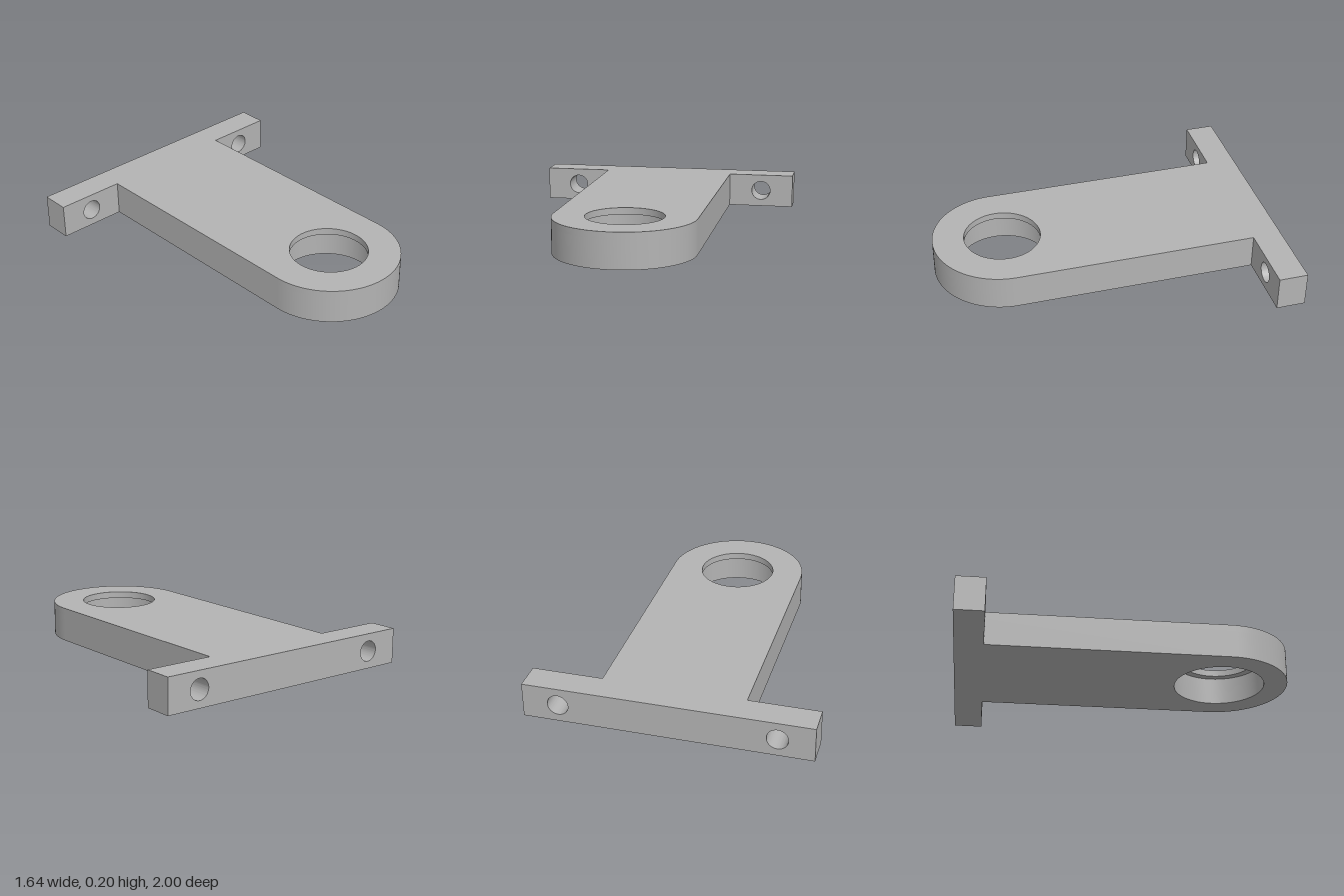
import * as THREE from 'three';
import { toCreasedNormals } from 'three/addons/utils/BufferGeometryUtils.js';

const HEIGHT = 0.205;      // overall thickness
const LIP = 0.04;          // thickness of the narrow rim above the counterbore
const ARM_HALF = 0.41;     // half width and end radius of the arm
const EYE_Z = 0.588;       // centre of the large hole
const FLANGE_HALF = 0.82;
const FLANGE_FRONT = -0.83;

function addHole(shape, x, y, radius) {
  const hole = new THREE.Path();
  hole.absarc(x, y, radius, 0, Math.PI * 2, true);
  shape.holes.push(hole);
}

function extrude(shape, depth) {
  const geometry = new THREE.ExtrudeGeometry(shape, { depth, bevelEnabled: false, curveSegments: 48 });
  return toCreasedNormals(geometry, Math.PI / 6);
}

// Horizontal arm layer with a rounded front end; the outline is drawn in x and z
function armLayer(name, holeRadius, top, thickness, material) {
  const shape = new THREE.Shape();
  shape.moveTo(-ARM_HALF, FLANGE_FRONT);
  shape.lineTo(ARM_HALF, FLANGE_FRONT);
  shape.lineTo(ARM_HALF, EYE_Z);
  shape.absarc(0, EYE_Z, ARM_HALF, 0, Math.PI, false);
  shape.closePath();
  addHole(shape, 0, EYE_Z, holeRadius);
  const geometry = extrude(shape, thickness).rotateX(Math.PI / 2).translate(0, top, 0);
  const mesh = new THREE.Mesh(geometry, material);
  mesh.name = name;
  return mesh;
}

export function createModel() {
  const group = new THREE.Group();
  group.name = 'mountingBracket';
  const metal = new THREE.MeshStandardMaterial({ color: 0xb3b3b3 });
  metal.name = 'grey metal';

  // Arm: narrow hole on top, wider counterbore below
  group.add(armLayer('armTop', 0.225, HEIGHT, LIP, metal));
  group.add(armLayer('armCounterbore', 0.27, HEIGHT - LIP, HEIGHT - LIP, metal));

  // Rear flange with a bolt hole on each side
  const face = new THREE.Shape();
  face.moveTo(-FLANGE_HALF, 0);
  face.lineTo(FLANGE_HALF, 0);
  face.lineTo(FLANGE_HALF, HEIGHT);
  face.lineTo(-FLANGE_HALF, HEIGHT);
  face.closePath();
  for (const side of [-1, 1]) addHole(face, side * 0.615, HEIGHT / 2, 0.06);
  const flange = new THREE.Mesh(extrude(face, FLANGE_FRONT + 1).translate(0, 0, -1), metal);
  flange.name = 'rearFlange';
  group.add(flange);

  return group;
}
